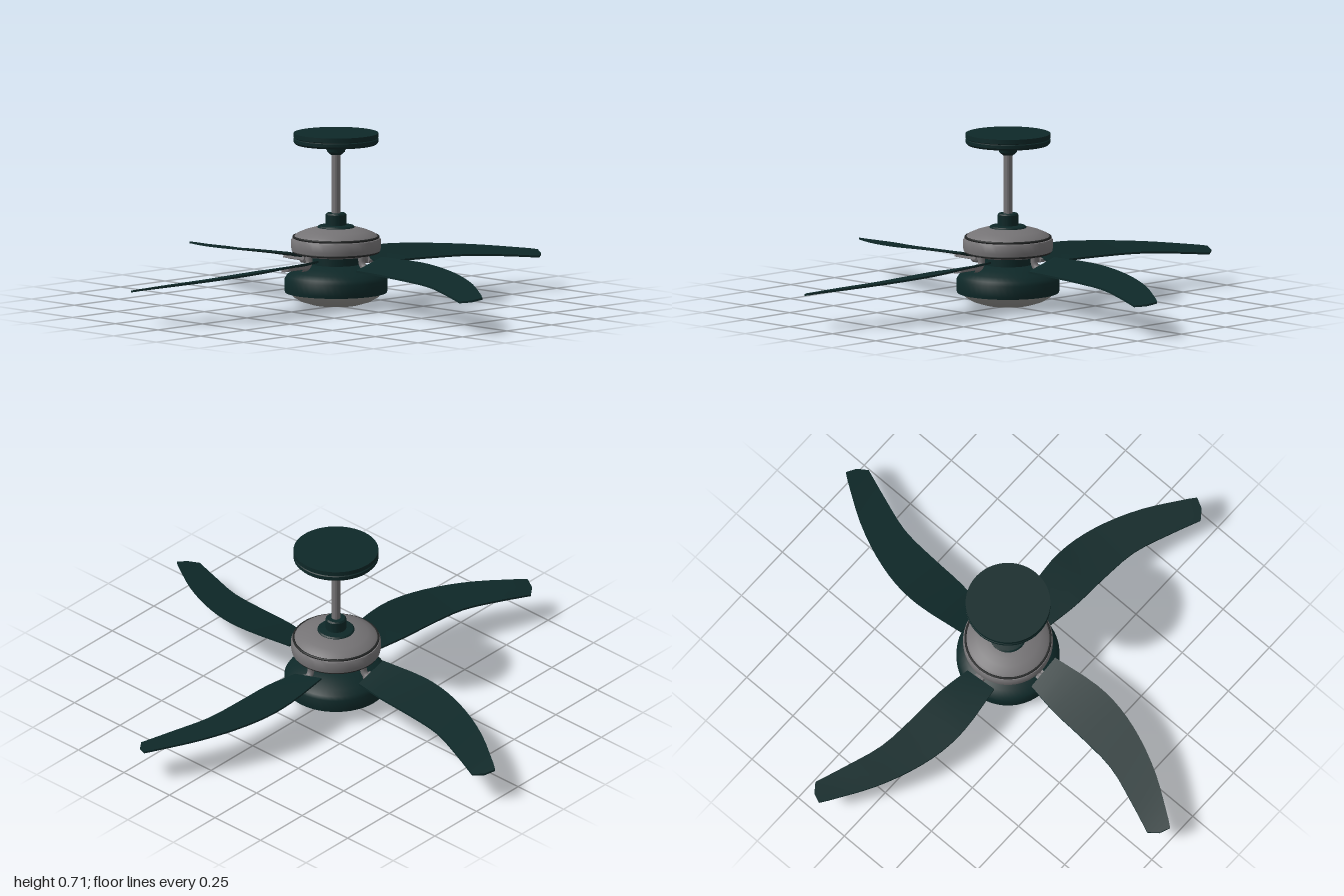
import * as THREE from 'three';
import { toCreasedNormals } from 'three/addons/utils/BufferGeometryUtils.js';

const green = new THREE.MeshStandardMaterial({ color: 0x0e2828 });
green.name = 'dark green';
const steel = new THREE.MeshStandardMaterial({ color: 0x757375 });
steel.name = 'grey metal';
const glass = new THREE.MeshStandardMaterial({ color: 0x91918e });
glass.name = 'pale glass';
const black = new THREE.MeshStandardMaterial({ color: 0x242626 });
black.name = 'dark trim';

function add(parent, name, geometry, material) {
  const mesh = new THREE.Mesh(geometry, material);
  mesh.name = name;
  parent.add(mesh);
  return mesh;
}

// Turned part from [radius, height] pairs, listed bottom to top
function turned(parent, name, profile, material) {
  const points = profile.map(([r, y]) => new THREE.Vector2(r, y));
  return add(parent, name, toCreasedNormals(new THREE.LatheGeometry(points, 48), 0.6), material);
}

// Swept, pitched blade lofted between its two long edges, pointing along +x
function bladeGeometry() {
  const curve = (pts) => new THREE.CatmullRomCurve3(pts.map((p) => new THREE.Vector3(...p)));
  const lead = curve([[0.18, 0.207, -0.085], [0.39, 0.203, -0.11], [0.52, 0.194, -0.1],
    [0.66, 0.183, -0.06], [0.81, 0.169, 0.01], [0.97, 0.15, 0.115]]);
  const trail = curve([[0.18, 0.165, 0.06], [0.32, 0.167, 0.082], [0.48, 0.163, 0.09],
    [0.65, 0.156, 0.106], [0.81, 0.144, 0.16], [0.94, 0.131, 0.21]]);
  const pairs = [];
  for (let i = 0; i <= 15; i++) pairs.push([lead.getPoint(i / 15), trail.getPoint(i / 15)]);
  pairs.push([new THREE.Vector3(1, 0.145, 0.138), new THREE.Vector3(0.98, 0.136, 0.18)]);

  const position = [];
  const index = [];
  const half = 0.004;
  pairs.forEach(([a, b], i) => {
    position.push(a.x, a.y + half, a.z, b.x, b.y + half, b.z);
    position.push(b.x, b.y - half, b.z, a.x, a.y - half, a.z);
    if (i === 0) return;
    for (let k = 0; k < 4; k++) {
      const p = (i - 1) * 4 + k;
      const q = (i - 1) * 4 + ((k + 1) % 4);
      index.push(p, q, q + 4, p, q + 4, p + 4);
    }
  });
  const e = (pairs.length - 1) * 4;
  index.push(0, 3, 2, 0, 2, 1, e, e + 1, e + 2, e, e + 2, e + 3);
  const geometry = new THREE.BufferGeometry();
  geometry.setAttribute('position', new THREE.Float32BufferAttribute(position, 3));
  geometry.setIndex(index);
  return toCreasedNormals(geometry, 0.6);
}

export function createModel() {
  const fan = new THREE.Group();
  fan.name = 'ceilingFan';

  // Ceiling mount and rod
  turned(fan, 'canopy', [[0, 0.62], [0.022, 0.62], [0.036, 0.632], [0.04, 0.648], [0.1, 0.655],
    [0.165, 0.664], [0.172, 0.672], [0.172, 0.685], [0.168, 0.688], [0.172, 0.691],
    [0.172, 0.709], [0, 0.709]], green);
  turned(fan, 'downRod', [[0.018, 0.35], [0.018, 0.63]], steel);
  turned(fan, 'rodCoupler', [[0.075, 0.315], [0.075, 0.325], [0.07, 0.33], [0.042, 0.333],
    [0.042, 0.375], [0.037, 0.381], [0, 0.381]], green);

  // Motor casing with dark seams
  turned(fan, 'motorCasing', [[0, 0.212], [0.15, 0.212], [0.165, 0.218], [0.168, 0.226],
    [0.18, 0.228], [0.182, 0.24], [0.182, 0.272], [0.178, 0.278], [0.17, 0.279], [0.17, 0.286],
    [0.16, 0.296], [0.13, 0.309], [0.1, 0.318], [0.075, 0.323], [0, 0.323]], steel);
  for (const [y, r] of [[0.284, 0.172], [0.224, 0.172]]) {
    const seam = add(fan, 'motorSeam', new THREE.TorusGeometry(r, 0.005, 8, 48), black);
    seam.rotation.x = Math.PI / 2;
    seam.position.y = y;
  }

  // Hub, lower housing and lamp bowl
  turned(fan, 'hub', [[0.1, 0.16], [0.1, 0.214]], green);
  turned(fan, 'lowerHousing', [[0.185, 0.058], [0.207, 0.058], [0.209, 0.068], [0.209, 0.112],
    [0.2, 0.127], [0.175, 0.144], [0.14, 0.16], [0.1, 0.174], [0, 0.176]], green);
  turned(fan, 'lampBowl', [[0, 0], [0.05, 0.002], [0.1, 0.009], [0.145, 0.023], [0.175, 0.041],
    [0.19, 0.06], [0, 0.06]], glass);

  // Four blades with their brackets
  const blade = bladeGeometry();
  const elbow = new THREE.TubeGeometry(new THREE.CatmullRomCurve3([
    new THREE.Vector3(0.15, 0.222, 0), new THREE.Vector3(0.152, 0.19, 0),
    new THREE.Vector3(0.165, 0.174, 0), new THREE.Vector3(0.2, 0.172, 0)]), 12, 0.014, 10);
  const plate = new THREE.BoxGeometry(0.12, 0.014, 0.042);
  for (let i = 0; i < 4; i++) {
    const arm = new THREE.Group();
    arm.name = 'bladeArm';
    arm.rotation.y = i * Math.PI / 2;
    add(arm, 'blade', blade, green);
    add(arm, 'bracketElbow', elbow, steel);
    const bar = add(arm, 'bracketPlate', plate, steel);
    bar.position.set(0.227, 0.174, 0);
    bar.rotation.x = 0.25;
    fan.add(arm);
  }
  return fan;
}
